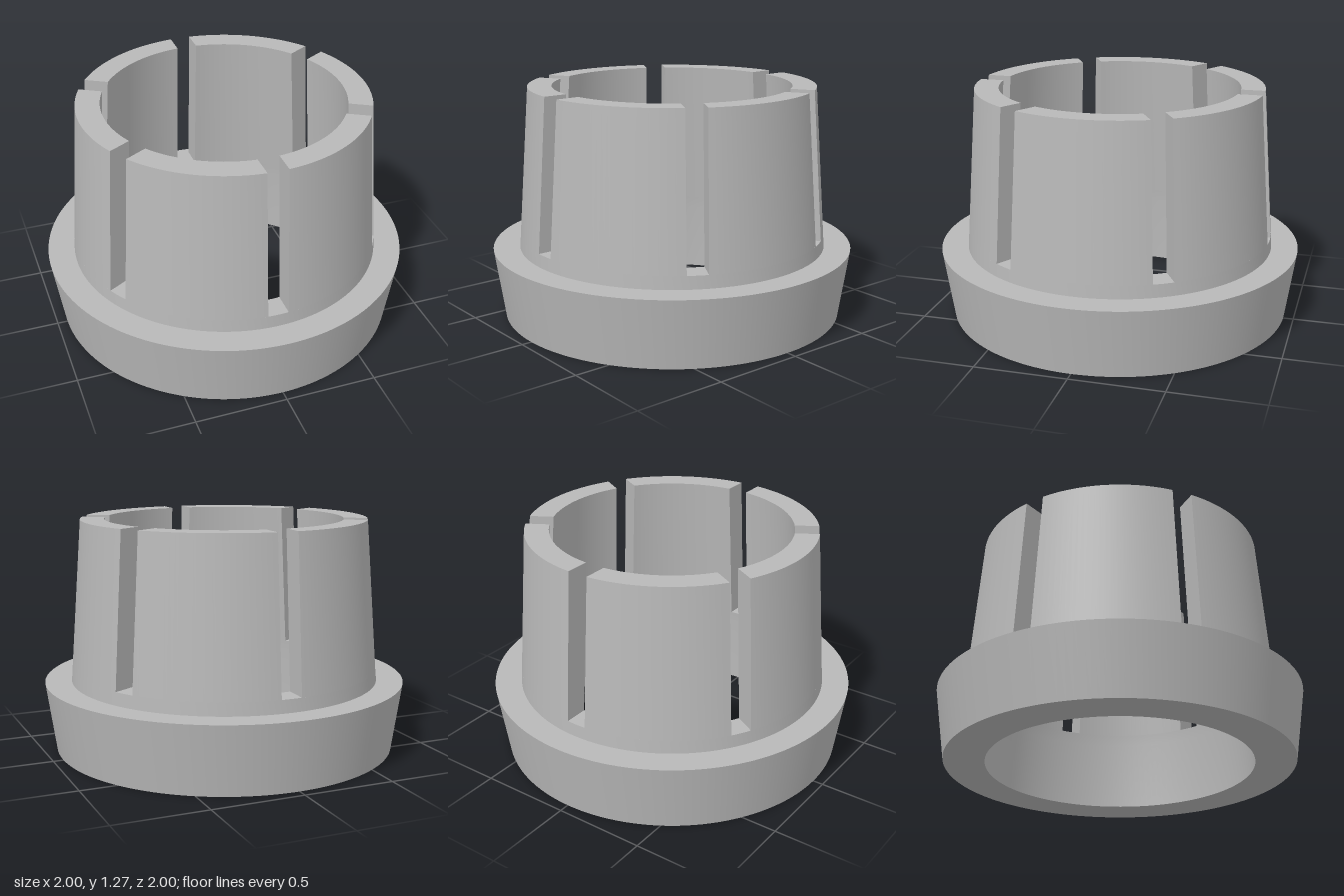
import * as THREE from 'three';
import { toCreasedNormals } from 'three/addons/utils/BufferGeometryUtils.js';

const FLANGE_Y = 0.38, SLOT_Y = 0.45, TOP_Y = 1.273;
const SLOT_HALF = 0.056, FINGERS = 6, STEPS = 24;

// Tapered finger between two parallel-sided slots, centred on angle `mid`.
function fingerGeometry(mid) {
  // Section corners, counter-clockwise in (radius, height)
  const section = [[0.717, SLOT_Y], [0.848, SLOT_Y], [0.787, TOP_Y], [0.656, TOP_Y]];
  const n = section.length, pos = [], index = [];
  for (let i = 0; i <= STEPS; i++) {
    const t = (i / STEPS) * 2 - 1;
    for (const [r, y] of section) {
      const a = mid + t * (Math.PI / FINGERS - Math.asin(SLOT_HALF / r));
      pos.push(r * Math.sin(a), y, r * Math.cos(a));
    }
  }
  for (let i = 0; i < STEPS; i++) {
    for (let j = 0; j < n; j++) {
      const a = i * n + j, b = i * n + (j + 1) % n;
      index.push(a, a + n, b, b, a + n, b + n);
    }
  }
  // Slot walls at both ends
  const e = STEPS * n;
  index.push(0, 1, 2, 0, 2, 3, e, e + 2, e + 1, e, e + 3, e + 2);
  const g = new THREE.BufferGeometry();
  g.setAttribute('position', new THREE.Float32BufferAttribute(pos, 3));
  g.setIndex(index);
  return toCreasedNormals(g, 0.5);
}

export function createModel() {
  const model = new THREE.Group();
  model.name = 'slottedBushing';
  const grey = new THREE.MeshStandardMaterial({ color: 0xb8b8b8 });
  grey.name = 'plain grey';

  // Flared flange with the short solid collar below the slots
  const profile = [
    [0.723, 0], [0.944, 0], [1, FLANGE_Y], [0.853, FLANGE_Y],
    [0.848, SLOT_Y], [0.717, SLOT_Y], [0.723, FLANGE_Y], [0.723, 0],
  ].map(([r, y]) => new THREE.Vector2(r, y));
  const flange = new THREE.Mesh(toCreasedNormals(new THREE.LatheGeometry(profile, 144), 0.5), grey);
  flange.name = 'flange';
  model.add(flange);

  // Six spring fingers
  for (let i = 0; i < FINGERS; i++) {
    const finger = new THREE.Mesh(fingerGeometry(((i + 0.5) * 2 * Math.PI) / FINGERS), grey);
    finger.name = `finger${i + 1}`;
    model.add(finger);
  }
  return model;
}
